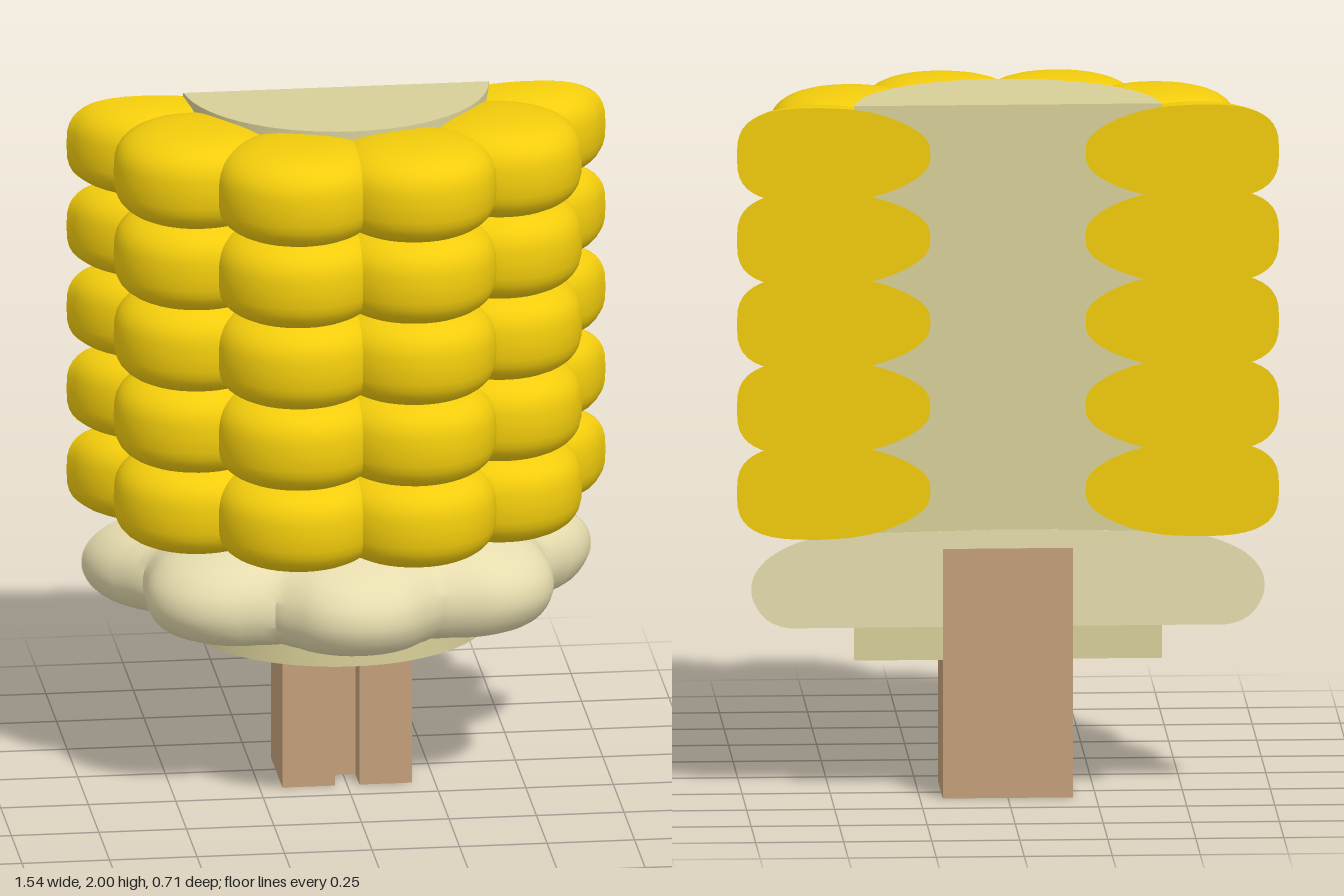
import * as THREE from 'three';
import { toCreasedNormals } from 'three/addons/utils/BufferGeometryUtils.js';

const AXIS = -0.385; // z of the cob's axis
const CUT = -0.35;   // flat back plane

const material = (color) => new THREE.MeshStandardMaterial({ color });
const yellow = material(0xf2cc0c);
const cream = material(0xe6dcae);
const tan = material(0xd8cf98);
const wood = material(0xc4a07a);

// Move every vertex by a rule
function reshape(geo, rule) {
  const p = geo.attributes.position;
  const v = new THREE.Vector3();
  for (let i = 0; i < p.count; i++) {
    rule(v.fromBufferAttribute(p, i));
    p.setXYZ(i, v.x, v.y, v.z);
  }
  return geo;
}

// Press everything behind the cut plane flat onto it
function sliced(geo, cut = CUT, crease = 0.7) {
  reshape(geo, (v) => { v.z = Math.max(v.z, cut); });
  return toCreasedNormals(geo, crease);
}

// Plump kernel, round outside and tapering towards the cob's axis
function kernelGeometry(angle, y) {
  const pts = [];
  const n = 20;
  for (let i = 0; i <= n; i++) {
    const a = -Math.PI / 2 + (Math.PI * i) / n;
    const r = i === 0 || i === n ? 0 : Math.pow(Math.cos(a), 2 / 3);
    const h = Math.sign(Math.sin(a)) * Math.pow(Math.abs(Math.sin(a)), 2 / 3);
    pts.push(new THREE.Vector2(0.235 * r, 0.137 * h));
  }
  const geo = new THREE.LatheGeometry(pts, 36);
  reshape(geo, (v) => {
    if (v.z < 0) {
      v.y *= 1 - 0.35 * (v.z / 0.235) ** 2;
      v.z *= 1.34;
    }
  });
  geo.translate(0, 0, 0.535).rotateY(angle).translate(0, y, AXIS);
  return sliced(geo);
}

// Radius of the eight-lobed collar at an angle
function lobeRadius(angle) {
  const step = Math.PI / 4;
  const d = 0.5, r = 0.232;
  const at = (t) => {
    const f = t - Math.round(t / step) * step;
    return d * Math.cos(f) + Math.sqrt(r * r - (d * Math.sin(f)) ** 2);
  };
  return (at(angle - 0.09) + 2 * at(angle) + at(angle + 0.09)) / 4;
}

function collarGeometry() {
  const curve = new THREE.SplineCurve([
    [0.72, 0.505], [0.85, 0.495], [0.94, 0.52], [0.99, 0.57], [1, 0.615],
    [0.98, 0.66], [0.92, 0.705], [0.82, 0.74], [0.7, 0.765],
  ].map(([r, y]) => new THREE.Vector2(r, y)));
  const pts = [new THREE.Vector2(0, 0.51), ...curve.getPoints(24), new THREE.Vector2(0, 0.775)];
  const geo = new THREE.LatheGeometry(pts, 128);
  reshape(geo, (v) => {
    const r = lobeRadius(Math.atan2(v.x, v.z));
    v.x *= r;
    v.z = v.z * r + AXIS;
  });
  return sliced(geo, CUT + 0.001, 0.9);
}

// Square stick with a groove down the front
function stickGeometry() {
  const w = 0.185, g = 0.035, front = -0.085, groove = -0.18;
  const shape = new THREE.Shape([
    [-w, -front], [-g, -front], [-g, -groove], [g, -groove],
    [g, -front], [w, -front], [w, -CUT], [-w, -CUT],
  ].map(([x, y]) => new THREE.Vector2(x, y)));
  return new THREE.ExtrudeGeometry(shape, { depth: 0.72, bevelEnabled: false })
    .rotateX(-Math.PI / 2);
}

export function createModel() {
  const model = new THREE.Group();
  model.name = 'halfCornCob';
  const add = (name, geo, mat, parent = model) => {
    const mesh = new THREE.Mesh(geo, mat);
    mesh.name = name;
    parent.add(mesh);
  };

  // Kernels in five rows
  const kernels = new THREE.Group();
  kernels.name = 'kernels';
  model.add(kernels);
  for (let row = 0; row < 5; row++) {
    for (const deg of [-90, -54, -18, 18, 54, 90]) {
      const geo = kernelGeometry(THREE.MathUtils.degToRad(deg), 0.887 + 0.243 * row);
      add('kernel', geo, yellow, kernels);
    }
  }

  // Core running the full height of the cob
  const core = new THREE.CylinderGeometry(0.437, 0.437, 1.6, 64).translate(0, 1.2, AXIS);
  add('core', sliced(core, CUT + 0.002), tan);

  add('collar', collarGeometry(), cream);
  add('stick', stickGeometry(), wood);
  return model;
}
